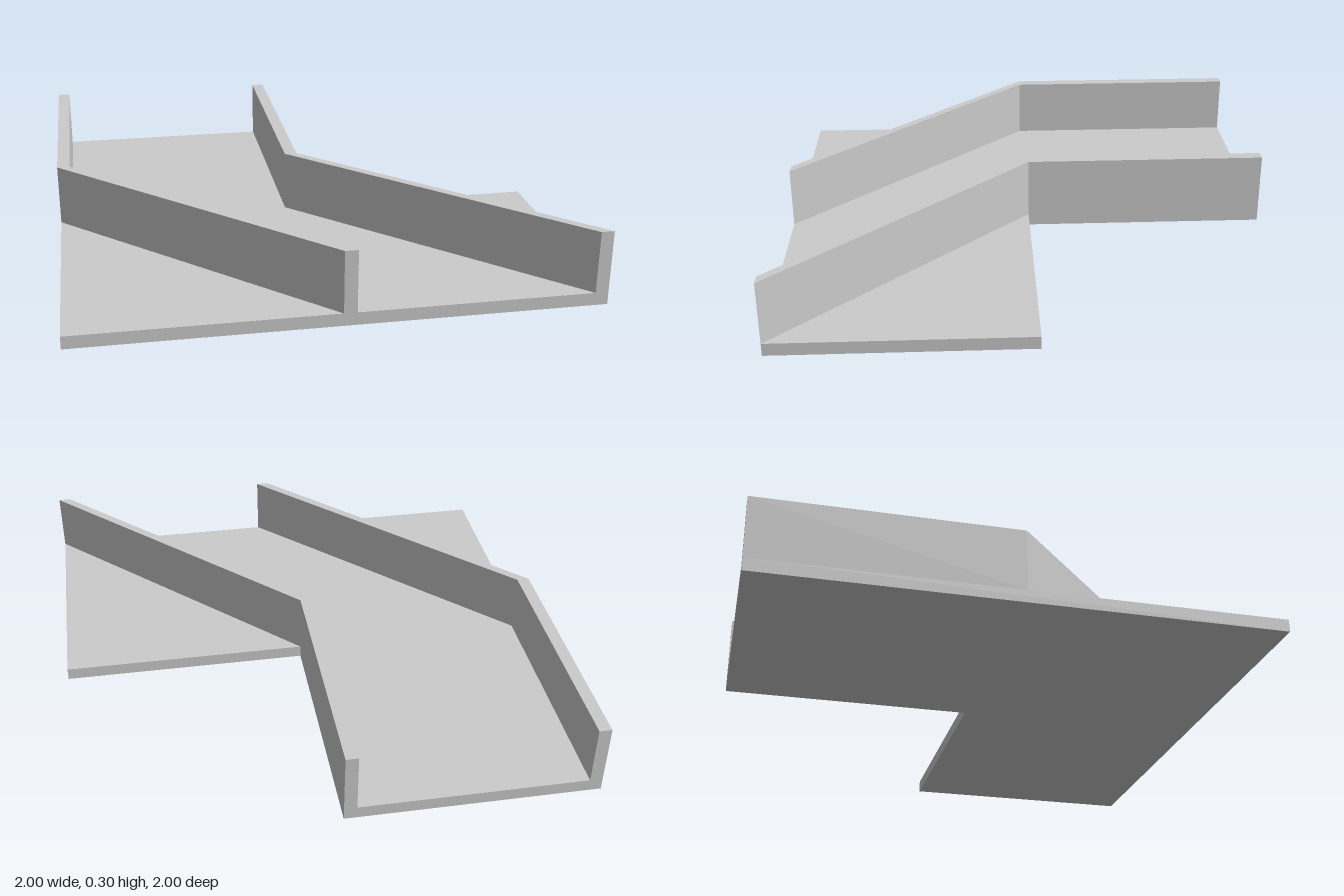
import * as THREE from 'three';

const FLOOR = 0.05, TOP = 0.296, WALL = 0.05;

// Extrude a plan outline of [x, z] points upward from y0 to y1
function slab(name, plan, y0, y1, material) {
  const shape = new THREE.Shape(plan.map(([x, z]) => new THREE.Vector2(x, -z)));
  const geometry = new THREE.ExtrudeGeometry(shape, { depth: y1 - y0, bevelEnabled: false });
  geometry.rotateX(-Math.PI / 2);
  geometry.translate(0, y0, 0);
  const mesh = new THREE.Mesh(geometry, material);
  mesh.name = name;
  return mesh;
}

export function createModel() {
  const group = new THREE.Group();
  group.name = 'bentChannel';
  const material = new THREE.MeshStandardMaterial({ color: 0xcccccc, flatShading: true });

  // L-shaped floor plate
  const floor = [[-1, -1], [0, -1], [0, 0], [1, 0], [1, 1], [-1, 1]];
  group.add(slab('floor', floor, 0, FLOOR, material));

  // Two parallel walls: straight at the back, then diagonal to the front edge
  for (const [name, x] of [['rightWall', -1], ['leftWall', -WALL]]) {
    const plan = [
      [x, -1], [x + WALL, -1], [x + WALL, 0],
      [x + WALL + 1, 1], [x + 1, 1], [x, 0],
    ];
    group.add(slab(name, plan, FLOOR, TOP, material));
  }
  return group;
}
